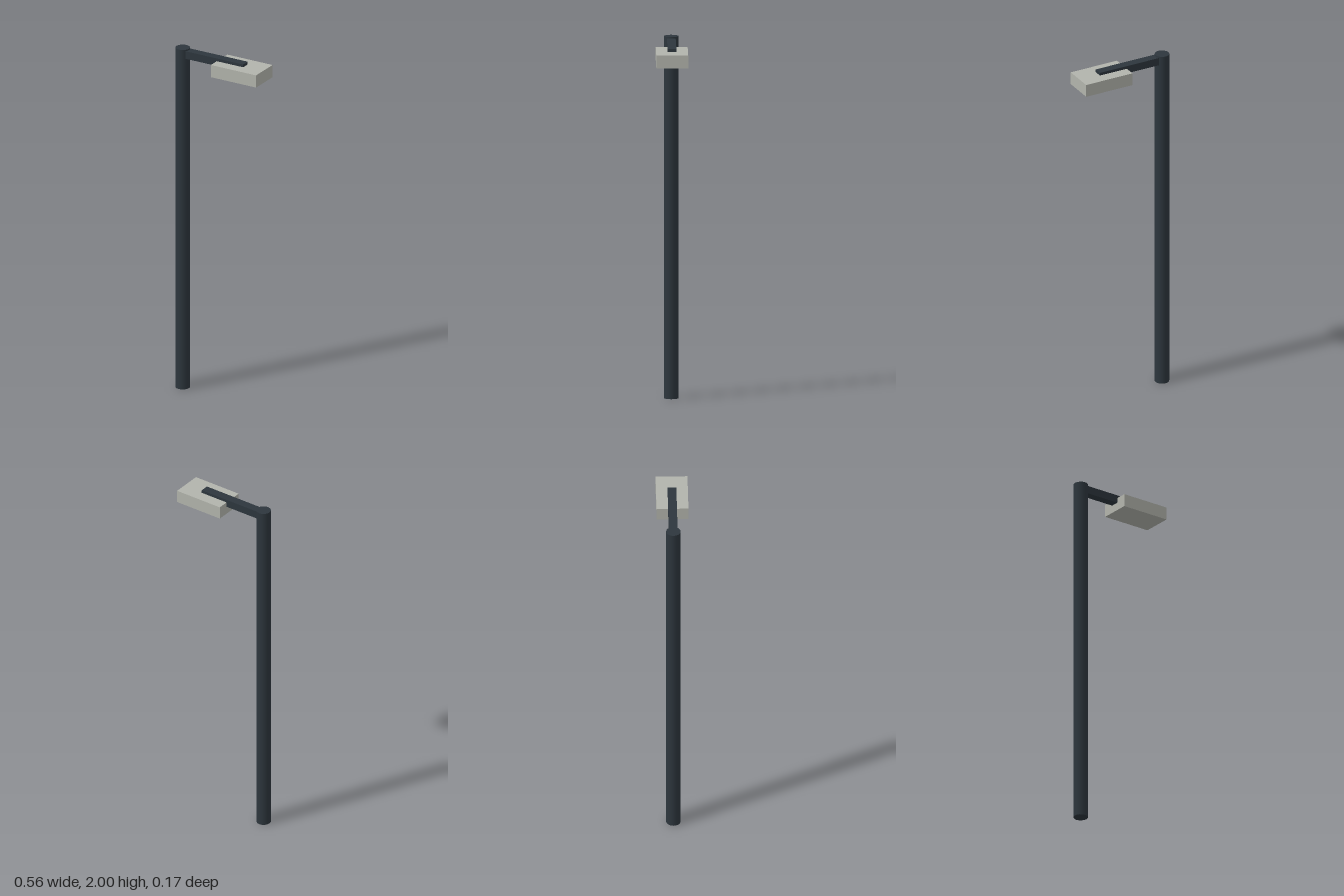
import * as THREE from 'three';

export function createModel() {
  const group = new THREE.Group();
  const darkSteel = new THREE.MeshStandardMaterial({ name: 'dark steel', color: 0x2d363d });
  const paleGrey = new THREE.MeshStandardMaterial({ name: 'pale grey', color: 0xb2b4ac });

  const add = (name, geometry, material, x, y) => {
    const mesh = new THREE.Mesh(geometry, material);
    mesh.name = name;
    mesh.position.set(x, y, 0);
    group.add(mesh);
  };

  // Upright pole
  add('pole', new THREE.CylinderGeometry(0.04, 0.04, 2, 16), darkSteel, -0.24, 1);
  // Horizontal arm, rooted inside the pole and resting in the lamp head
  add('arm', new THREE.BoxGeometry(0.4, 0.044, 0.048), darkSteel, -0.04, 1.97);
  // Box-shaped lamp head
  add('lampHead', new THREE.BoxGeometry(0.288, 0.072, 0.174), paleGrey, 0.136, 1.94);

  return group;
}
